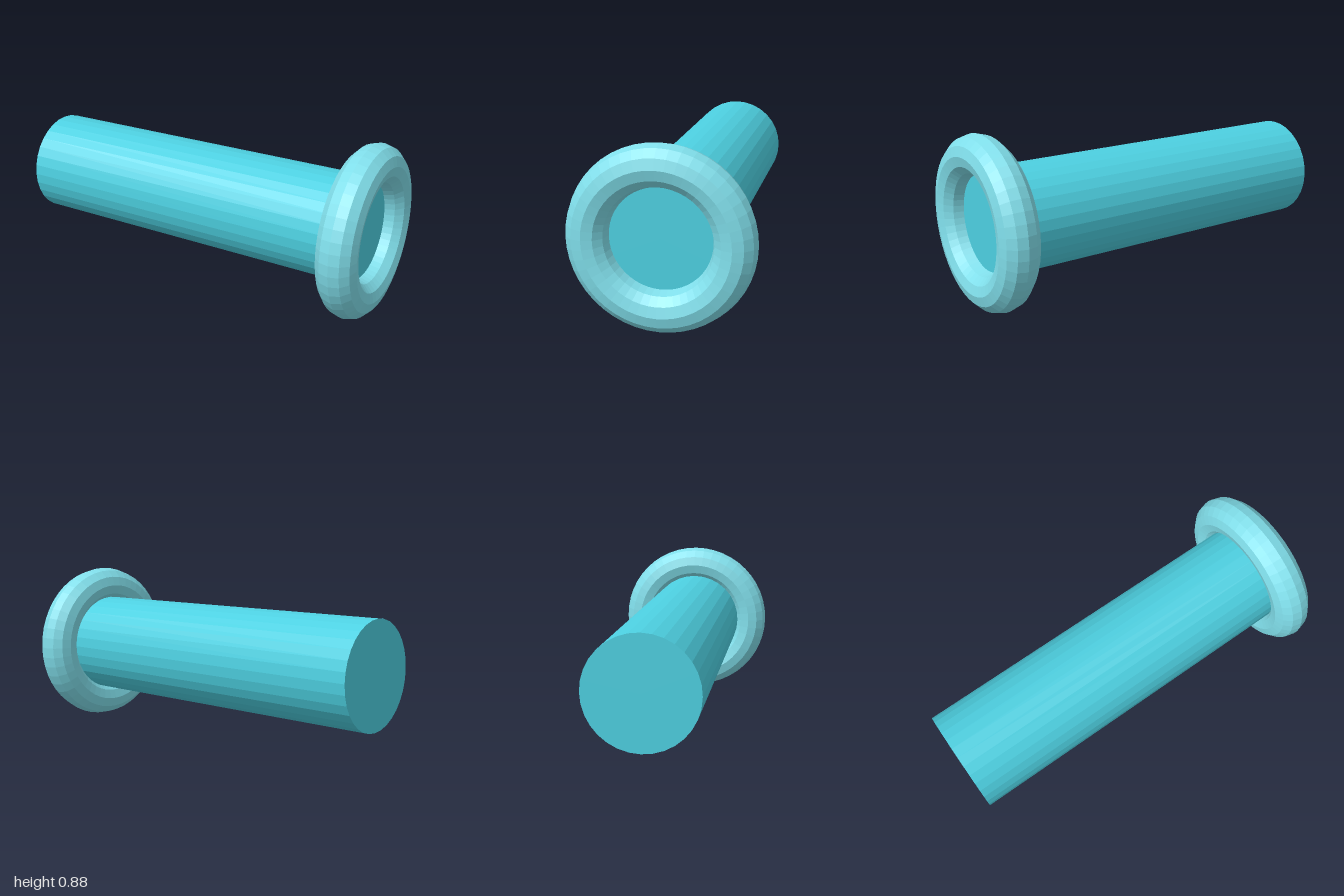
import * as THREE from 'three';

export function createModel() {
  const group = new THREE.Group();
  const centreY = 0.44;

  const add = (name, geometry, color, x) => {
    const material = new THREE.MeshStandardMaterial({ color, flatShading: true });
    const mesh = new THREE.Mesh(geometry, material);
    mesh.name = name;
    mesh.position.set(x, centreY, 0);
    group.add(mesh);
    return mesh;
  };

  // Closed shaft lying along x, ending in the middle of the rim
  const shaft = new THREE.CylinderGeometry(0.27, 0.27, 1.9, 32).rotateZ(-Math.PI / 2);
  add('shaft', shaft, 0x4dd0e1, -0.05);

  // Rounded rim around the left end
  const rim = new THREE.TorusGeometry(0.34, 0.1, 12, 48).rotateY(Math.PI / 2);
  add('rim', rim, 0x80deea, 0.9);

  return group;
}
